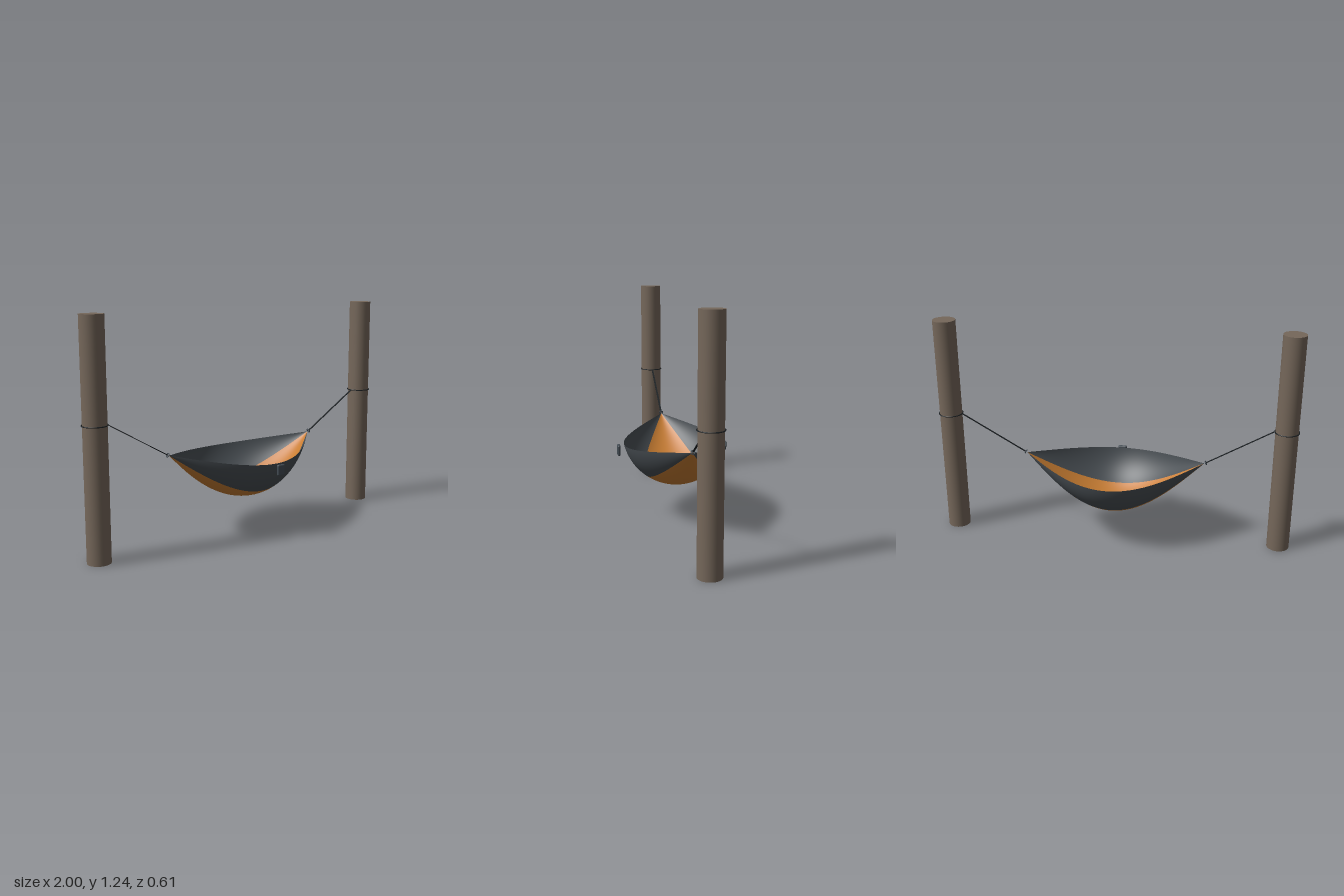
import * as THREE from 'three';
import { RoundedBoxGeometry } from 'three/addons/geometries/RoundedBoxGeometry.js';

const Z = -0.02; // depth of the line between the posts

function material(name, color, side = THREE.FrontSide) {
  const m = new THREE.MeshStandardMaterial({ color, side });
  m.name = name;
  return m;
}

// Strip of the hammock cloth between two angles of its circular section.
// Every section scales towards the tips by a sine of the distance along x.
function clothGeometry(a0, a1, columns) {
  const halfLength = 0.5, tipY = 0.485, radius = 0.295, drop = 0.295;
  const rows = 64, positions = [], index = [];
  for (let i = 0; i <= rows; i++) {
    const u = i / rows, f = Math.sin(Math.PI * u);
    for (let j = 0; j <= columns; j++) {
      const a = a0 + (a1 - a0) * j / columns;
      positions.push(
        (u * 2 - 1) * halfLength,
        tipY + f * (radius * (1 - Math.cos(a)) - drop),
        Z + f * radius * Math.sin(a));
      if (i < rows && j < columns) {
        const p = i * (columns + 1) + j, q = p + columns + 1;
        index.push(p, p + 1, q, p + 1, q + 1, q);
      }
    }
  }
  const g = new THREE.BufferGeometry();
  g.setAttribute('position', new THREE.Float32BufferAttribute(positions, 3));
  g.setIndex(index);
  g.computeVertexNormals();
  return g;
}

export function createModel() {
  const bark = material('bark brown', 0x75675a);
  const charcoal = material('charcoal cloth', 0x474d52, THREE.DoubleSide);
  const orange = material('orange cloth', 0xc87d32, THREE.DoubleSide);
  const black = material('black strap', 0x1b2023);
  const metal = material('dark metal', 0x434c54);

  const model = new THREE.Group();
  model.name = 'hammock';
  const add = (name, geometry, mat, x, y, z) => {
    const mesh = new THREE.Mesh(geometry, mat);
    mesh.name = name;
    mesh.position.set(x, y, z);
    model.add(mesh);
    return mesh;
  };

  // Cloth: orange centre with a charcoal panel on each side
  const border = 0.62, rim = 1.347;
  add('centrePanel', clothGeometry(-border, border, 24), orange, 0, 0, 0);
  add('frontPanel', clothGeometry(border, rim, 16), charcoal, 0, 0, 0);
  add('backPanel', clothGeometry(-rim, -border, 16), charcoal, 0, 0, 0);

  // Small pouch in front of the rim
  add('pouch', new RoundedBoxGeometry(0.05, 0.06, 0.017, 4, 0.008), metal, 0, 0.39, 0.298);

  for (const [side, s] of [['left', 1], ['right', -1]]) {
    // Post with the strap loop around it
    add(side + 'Post', new THREE.CylinderGeometry(0.062, 0.062, 1.24, 40), bark, s * 0.932, 0.62, Z);
    add(side + 'Loop', new THREE.TorusGeometry(0.065, 0.003, 8, 48), black, s * 0.932, 0.7, Z)
      .rotation.x = Math.PI / 2;

    // Flat strap from the loop down to the ring
    const dx = 0.36, dy = 0.21;
    add(side + 'Strap', new THREE.BoxGeometry(Math.hypot(dx, dy), 0.003, 0.01), black,
      s * (0.51 + dx / 2), 0.49 + dy / 2, Z).rotation.z = s * Math.atan2(dy, dx);

    // Ring joining strap and cloth
    const ring = add(side + 'Ring', new THREE.TorusGeometry(0.01, 0.003, 8, 20), metal, s * 0.508, 0.489, Z);
    ring.rotation.set(0, Math.PI / 2, s * 0.5, 'ZYX');
  }
  return model;
}
